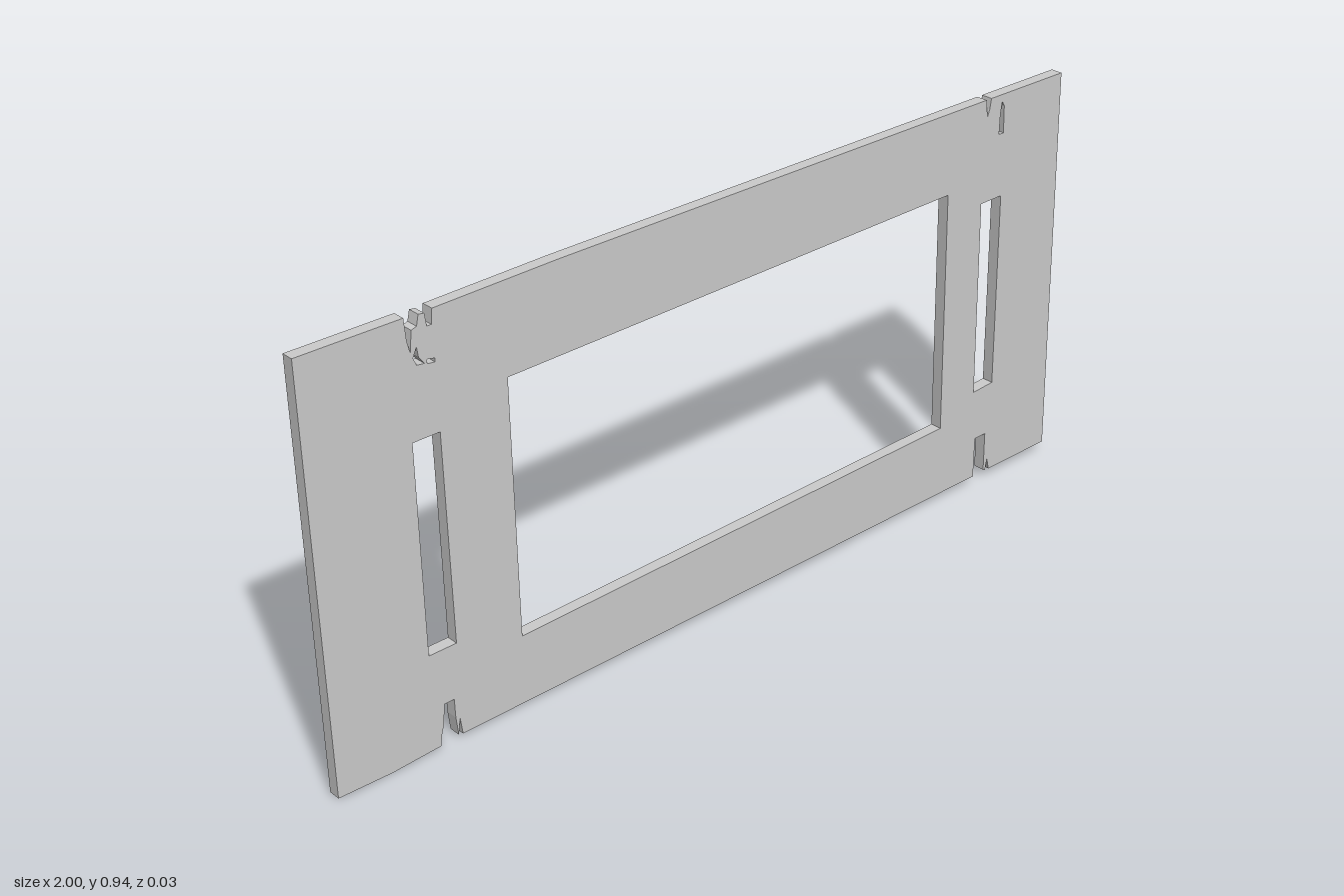
import * as THREE from 'three';

const DEPTH = 0.027;
const points = (list) => list.map(([x, y]) => new THREE.Vector2(x, y));

export function createModel() {
  const group = new THREE.Group();
  group.name = 'framePanel';

  // Outer edge, counter-clockwise from the lower left, with the worn notches
  const panel = new THREE.Shape(points([
    [-0.985, 0.003], [-0.86, 0], [-0.745, 0.006],
    // lower left notch
    [-0.742, 0.03], [-0.735, 0.055], [-0.732, 0.098], [-0.708, 0.098], [-0.707, 0.055],
    [-0.702, 0.012], [-0.697, 0.05], [-0.692, 0.01],
    // lower right notch
    [0.763, 0.021], [0.763, 0.12], [0.796, 0.12], [0.797, 0.025],
    [0.803, 0.022], [0.808, 0.05], [0.815, 0.022],
    [1, 0.023], [0.98, 0.943],
    // upper right nick
    [0.757, 0.943], [0.753, 0.92], [0.747, 0.903], [0.742, 0.943],
    [-0.42, 0.941], [-0.705, 0.936],
    // upper left nicks
    [-0.708, 0.905], [-0.718, 0.905], [-0.722, 0.932], [-0.735, 0.934],
    [-0.74, 0.912], [-0.752, 0.908], [-0.757, 0.865], [-0.763, 0.89], [-0.767, 0.937],
    [-1, 0.938],
  ]));

  // Central window, two upright slots and small worn-through openings
  const openings = [
    [[-0.545, 0.741], [0.635, 0.757], [0.645, 0.19], [-0.538, 0.168]],
    [[-0.765, 0.685], [-0.703, 0.685], [-0.695, 0.222], [-0.76, 0.222]],
    [[0.742, 0.705], [0.804, 0.706], [0.81, 0.247], [0.75, 0.243]],
    [[0.788, 0.9], [0.792, 0.927], [0.799, 0.915], [0.801, 0.853], [0.787, 0.853]],
    [[-0.752, 0.852], [-0.743, 0.872], [-0.74, 0.85], [-0.728, 0.834], [-0.745, 0.836]],
    [[-0.722, 0.84], [-0.705, 0.837], [-0.705, 0.829], [-0.722, 0.831]],
  ];
  for (const opening of openings) panel.holes.push(new THREE.Path(points(opening)));

  const geometry = new THREE.ExtrudeGeometry(panel, { depth: DEPTH, bevelEnabled: false });
  geometry.translate(0, 0, -DEPTH / 2);
  const mesh = new THREE.Mesh(
    geometry,
    new THREE.MeshStandardMaterial({ color: 0xcccccc, flatShading: true }),
  );
  mesh.name = 'panel';
  group.add(mesh);
  return group;
}
